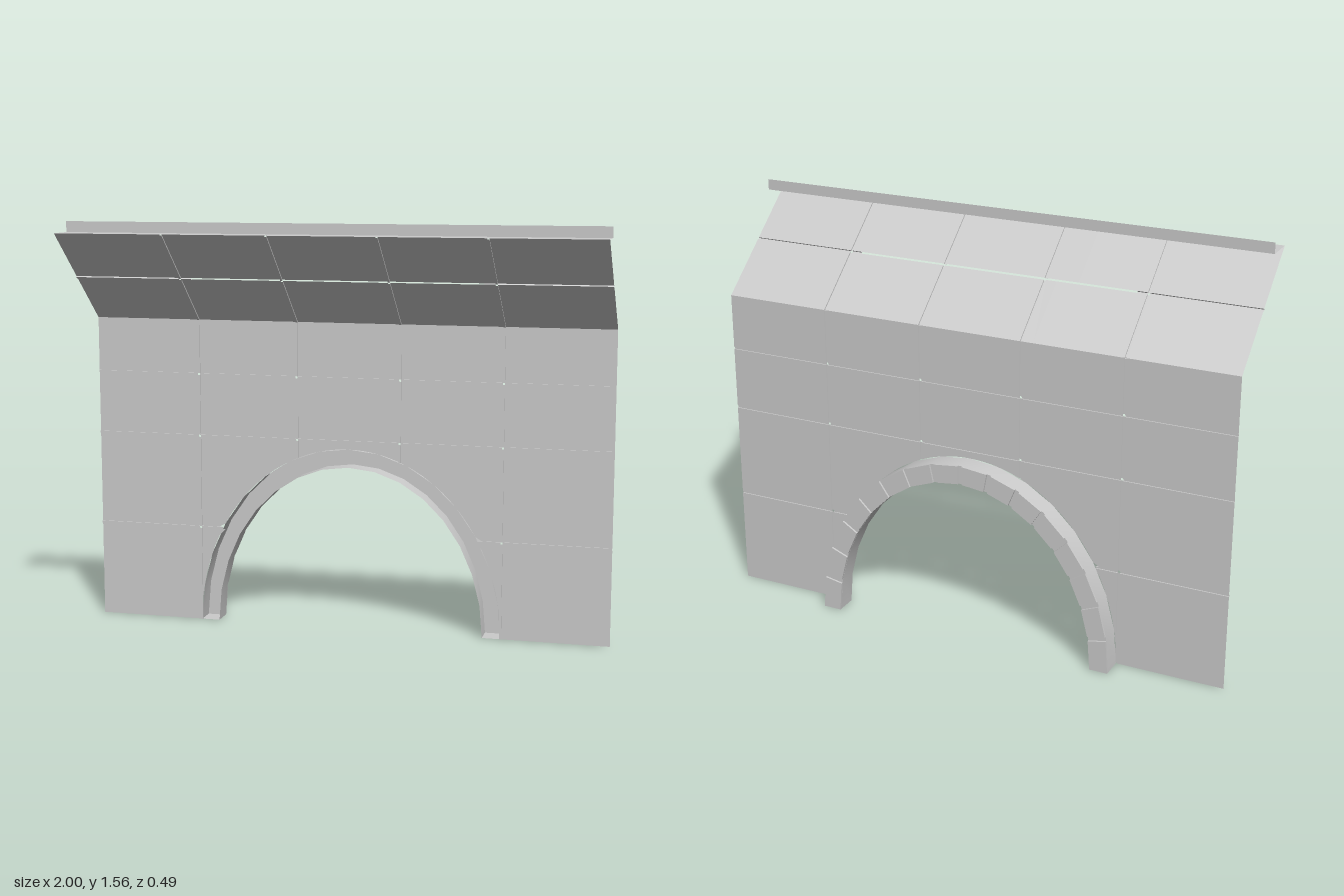
import * as THREE from 'three';
import { toCreasedNormals } from 'three/addons/utils/BufferGeometryUtils.js';

const material = new THREE.MeshStandardMaterial({ color: 0xcccccc, side: THREE.DoubleSide });
const WALL_Z = -0.16, BACK_Z = -0.244, PLATE_Z = -0.236;
const WALL_TOP = 1.18, EAVE_Y = 1.52, EAVE_Z = 0.244;
const OUTER = [0.59, 0.7], INNER = [0.52, 0.63]; // arch half width and height
const GAP = 0.004, DEPTH = 0.005;                // joint half width and depth
const COLUMNS = [-1, -0.59, -0.2, 0.2, 0.59, 1];
const STONES = 16;

function add(parent, name, geometry) {
  const mesh = new THREE.Mesh(geometry, material);
  mesh.name = name;
  parent.add(mesh);
  return mesh;
}

// Grid of nu x nv cells whose corners are placed by place(i, j) -> [x, y, z]
function sheet(nu, nv, place) {
  const g = new THREE.PlaneGeometry(1, 1, nu, nv);
  for (let j = 0; j <= nv; j++)
    for (let i = 0; i <= nu; i++) g.attributes.position.setXYZ(j * (nu + 1) + i, ...place(i, j));
  return toCreasedNormals(g, 0.5);
}

// Shallow U-shaped joint between two points in the xy plane
function joint(parent, a, b) {
  const dx = b[0] - a[0], dy = b[1] - a[1], len = Math.hypot(dx, dy);
  const nx = -dy / len, ny = dx / len;
  add(parent, 'joint', sheet(3, 1, (i, j) => {
    const p = j ? b : a, s = i < 2 ? -GAP : GAP;
    return [p[0] + nx * s, p[1] + ny * s, i === 1 || i === 2 ? DEPTH : 0];
  }));
}

// Panels in a grid with joints between; the lower edges follow floorAt(x)
function panelGrid(name, rows, floorAt) {
  const group = new THREE.Group();
  group.name = name;
  const lastC = COLUMNS.length - 2, lastR = rows.length - 2;
  for (let c = 0; c <= lastC; c++) {
    const x0 = COLUMNS[c] + (c ? GAP : 0), x1 = COLUMNS[c + 1] - (c < lastC ? GAP : 0);
    const curved = c > 0 && c < lastC;
    const t0 = curved ? Math.acos(x0 / OUTER[0]) : 0, t1 = curved ? Math.acos(x1 / OUTER[0]) : 0;
    const n = curved ? 14 : 1;
    const xAt = (i) => (curved ? OUTER[0] * Math.cos(t0 + (t1 - t0) * i / n) : i ? x1 : x0);
    for (let r = 0; r <= lastR; r++) {
      const y0 = rows[r] + (r ? GAP : 0), y1 = rows[r + 1] - (r < lastR ? GAP : 0);
      const lowest = Math.min(floorAt(x0), floorAt(x1));
      if (lowest >= y1) continue;
      add(group, 'panel', sheet(n, 1, (i, j) => {
        const x = xAt(i);
        return [x, j ? Math.min(y1, Math.max(y0, floorAt(x))) : y1, 0];
      }));
      // Joint on the right side of the panel
      const edge = COLUMNS[c + 1], from = Math.max(y0, floorAt(edge));
      if (c < lastC && from < y1) joint(group, [edge, from], [edge, y1]);
      // Joint above the panel, stopped where it meets the arch
      if (r < lastR) {
        const y = rows[r + 1];
        let a = x0, b = x1;
        if (y < OUTER[1]) {
          const reach = OUTER[0] * Math.sqrt(1 - (y / OUTER[1]) ** 2);
          if (a < 0) b = Math.min(b, -reach);
          else a = Math.max(a, reach);
        }
        if (b > a) joint(group, [a, y], [b, y]);
      }
    }
  }
  return group;
}

const arcPoint = ([w, h], t) => [w * Math.cos(t), h * Math.sin(t)];

function createArch() {
  const arch = new THREE.Group();
  arch.name = 'arch';
  // Hollow ring, open towards the front
  const profile = [[OUTER, WALL_Z], [OUTER, PLATE_Z], [INNER, PLATE_Z], [INNER, WALL_Z]];
  add(arch, 'archShell', sheet(STONES, 3, (i, j) => {
    const [size, z] = profile[j];
    return [...arcPoint(size, Math.PI * i / STONES), z];
  }));
  // Closed feet
  for (const side of [-1, 1])
    add(arch, 'archFoot', sheet(1, 1, (i, j) =>
      [side * (i ? OUTER[0] : INNER[0]), 0, j ? BACK_Z : WALL_Z]));
  // Stones on the back, with narrow gaps between
  const gap = 0.014;
  for (let k = 0; k < STONES; k++) {
    const t0 = Math.PI * k / STONES + (k ? gap : 0);
    const t1 = Math.PI * (k + 1) / STONES - (k < STONES - 1 ? gap : 0);
    const corners = [arcPoint(INNER, t0), arcPoint(OUTER, t0), arcPoint(OUTER, t1), arcPoint(INNER, t1)];
    const shape = new THREE.Shape(corners.map((p) => new THREE.Vector2(...p)));
    const stone = new THREE.ExtrudeGeometry(shape, { depth: PLATE_Z - BACK_Z, bevelEnabled: false });
    add(arch, 'archStone', stone.translate(0, 0, BACK_Z));
  }
  return arch;
}

export function createModel() {
  const model = new THREE.Group();
  model.name = 'archwayWithCanopy';

  // Upright wall with the arched opening
  const archTop = (x) => Math.abs(x) < OUTER[0] ? OUTER[1] * Math.sqrt(1 - (x / OUTER[0]) ** 2) : 0;
  const wall = panelGrid('wall', [0, 0.37, 0.73, 0.97, WALL_TOP], archTop);
  wall.position.z = WALL_Z;
  model.add(wall);

  model.add(createArch());

  // Canopy leaning forward from the top of the wall
  const rise = EAVE_Y - WALL_TOP, run = EAVE_Z - WALL_Z, slope = Math.hypot(rise, run);
  const canopy = panelGrid('canopy', [0, slope / 2, slope], () => 0);
  canopy.position.set(0, WALL_TOP, WALL_Z);
  canopy.rotation.x = Math.atan2(run, rise);
  model.add(canopy);

  // Flat ledge folded back from the canopy edge, with an upstand
  const fold = [[EAVE_Y, EAVE_Z], [EAVE_Y, 0.13], [1.56, 0.13]];
  add(model, 'ledge', sheet(1, 2, (i, j) => [i ? 1 : -1, ...fold[j]]));

  return model;
}
